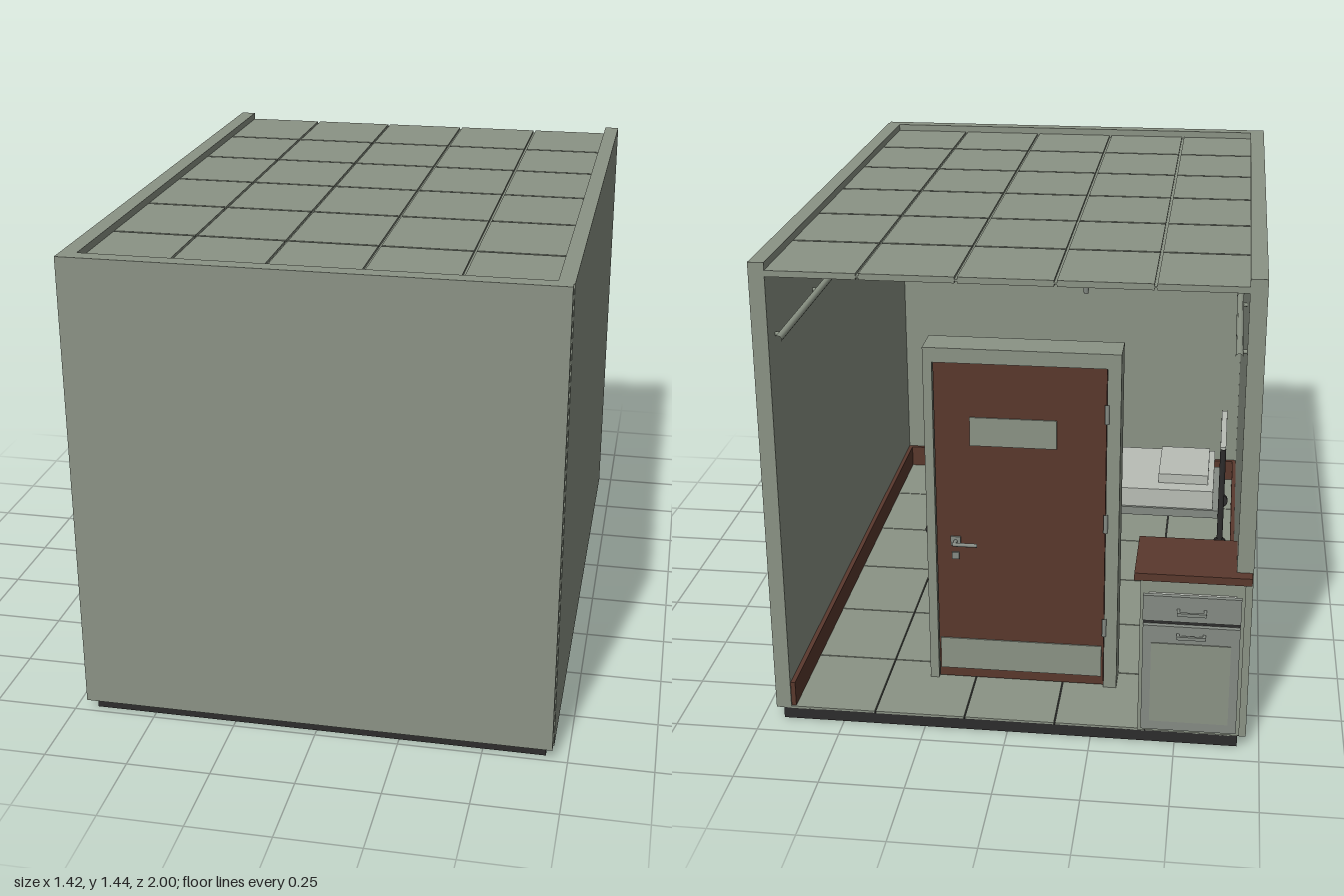
import * as THREE from 'three';

const mat = (name, color) => {
  const m = new THREE.MeshStandardMaterial({ color });
  m.name = name;
  return m;
};

export function createModel() {
  const room = new THREE.Group();
  room.name = 'room';
  const M = {
    wall: mat('sageGrey', 0x8b9385),
    slab: mat('charcoal', 0x2d2c2c),
    wood: mat('brownWood', 0x5a382d),
    metal: mat('greyMetal', 0x858b84),
    white: mat('offWhite', 0xb9beb6),
  };

  const group = (name, parent = room) => {
    const g = new THREE.Group();
    g.name = name;
    parent.add(g);
    return g;
  };

  // Box from its minimum and maximum corners
  const box = (name, m, [x0, x1], [y0, y1], [z0, z1], parent = room) => {
    const b = new THREE.Mesh(new THREE.BoxGeometry(x1 - x0, y1 - y0, z1 - z0), m);
    b.position.set((x0 + x1) / 2, (y0 + y1) / 2, (z0 + z1) / 2);
    b.name = name;
    parent.add(b);
    return b;
  };

  // Straight round bar between two points
  const bar = (name, m, a, b, r, parent = room) => {
    const path = new THREE.LineCurve3(new THREE.Vector3(...a), new THREE.Vector3(...b));
    const t = new THREE.Mesh(new THREE.TubeGeometry(path, 1, r, 10), m);
    t.name = name;
    parent.add(t);
  };

  // U-shaped pull handle projecting towards -z
  const pull = (name, x, y, z, half, depth, parent) => {
    const g = group(name, parent);
    box('grip', M.metal, [x - half, x + half], [y - 0.005, y + 0.005], [z - depth, z - depth + 0.008], g);
    for (const s of [-1, 1]) {
      const px = x + s * (half - 0.004);
      box('post', M.metal, [px - 0.004, px + 0.004], [y - 0.005, y + 0.005], [z - depth, z], g);
    }
  };

  // Shell: floor slab and three walls, open at the back
  box('floorSlab', M.slab, [-0.685, 0.685], [0, 0.035], [-0.925, 0.975]);
  box('rightWall', M.wall, [-0.71, -0.662], [0.035, 1.44], [-0.925, 0.952]);
  box('leftWall', M.wall, [0.662, 0.708], [0.035, 1.44], [-0.925, 0.975]);
  box('frontWall', M.wall, [-0.71, 0.705], [0.035, 1.44], [0.952, 1.0]);

  // Tile grid shared by floor and ceiling
  const xs = [-0.662, -0.412, -0.142, 0.13, 0.403, 0.662];
  const zs = [-0.925, -0.615, -0.3, 0.02, 0.335, 0.655, 0.952];
  const tiles = (name, y0, y1, gap) => {
    const g = group(name);
    for (let i = 0; i < 5; i++) {
      for (let j = 0; j < 6; j++) {
        box('tile', M.wall,
          [xs[i] + (i ? gap : 0), xs[i + 1] - (i < 4 ? gap : 0)], [y0, y1],
          [zs[j] + (j ? gap : 0), zs[j + 1] - (j < 5 ? gap : 0)], g);
      }
    }
  };
  tiles('floorTiles', 0.034, 0.041, 0.002);
  tiles('ceilingTiles', 1.4, 1.418, 0.004);
  box('ceilingGrid', M.wall, [-0.662, 0.662], [1.406, 1.411], [-0.925, 0.952]);

  // Skirting boards and wall rails
  const trim = group('wallTrim');
  for (const s of [-1, 1]) {
    const span = s > 0 ? [0.648, 0.662] : [-0.662, -0.648];
    box('skirting', M.wood, span, [0.041, 0.12], [s > 0 ? -0.92 : -0.72, 0.952], trim);
    bar('wallRail', M.wall, [s * 0.642, 1.21, -0.9], [s * 0.642, 1.21, 0.94], 0.011, trim);
    for (let z = -0.85; z < 0.95; z += 0.425) {
      bar('railBracket', M.wall, [s * 0.662, 1.21, z], [s * 0.642, 1.21, z], 0.006, trim);
    }
  }
  box('frontSkirting', M.wood, [-0.648, 0.648], [0.041, 0.12], [0.938, 0.952], trim);

  // Ceiling fixtures
  const sprinkler = group('sprinkler');
  const disc = (name, r, h, y) => {
    const d = new THREE.Mesh(new THREE.CylinderGeometry(r, r * 0.8, h, 16), M.metal);
    d.position.set(-0.22, y, -0.87);
    d.name = name;
    sprinkler.add(d);
  };
  disc('mount', 0.02, 0.012, 1.394);
  disc('nozzle', 0.008, 0.02, 1.378);

  // Free-standing door in a deep frame
  const door = group('door');
  const frame = new THREE.Shape();
  [[-0.31, 0.04], [-0.31, 1.135], [0.272, 1.135], [0.272, 0.04],
    [0.245, 0.04], [0.245, 1.09], [-0.27, 1.09], [-0.27, 0.04]]
    .forEach(([x, y], i) => (i ? frame.lineTo(x, y) : frame.moveTo(x, y)));
  const frameMesh = new THREE.Mesh(
    new THREE.ExtrudeGeometry(frame, { depth: 0.11, bevelEnabled: false }), M.wall);
  frameMesh.position.z = -0.705;
  frameMesh.name = 'doorFrame';
  door.add(frameMesh);
  box('doorLeaf', M.wood, [-0.268, 0.243], [0.045, 1.088], [-0.696, -0.655], door);
  for (const s of [-1, 1]) {
    const face = s < 0 ? -0.696 : -0.655;
    const plate = (name, m, x, y, t) =>
      box(name, m, x, y, s < 0 ? [face - t, face] : [face, face + t], door);
    plate('doorWindow', M.wall, [-0.122, 0.137], [0.83, 0.92], 0.004);
    plate('kickPlate', M.wall, [-0.262, 0.238], [0.075, 0.18], 0.004);
    plate('lockPlate', M.metal, [0.17, 0.2], [0.5, 0.53], 0.006);
    plate('keyPlate', M.metal, [0.175, 0.197], [0.455, 0.477], 0.006);
    bar('leverStem', M.metal, [0.185, 0.515, face], [0.185, 0.515, face + s * 0.03], 0.006, door);
    bar('lever', M.metal, [0.19, 0.515, face + s * 0.03], [0.115, 0.515, face + s * 0.03], 0.006, door);
  }
  for (const y of [0.25, 0.6, 0.95]) {
    bar('hinge', M.metal, [-0.27, y - 0.03, -0.704], [-0.27, y + 0.03, -0.704], 0.007, door);
  }

  // Cabinet with worktop, slightly open drawer and a door
  const cabinet = group('cabinet');
  box('cabinetBody', M.wall, [-0.69, -0.39], [0.041, 0.55], [-0.932, -0.73], cabinet);
  box('worktop', M.wood, [-0.707, -0.373], [0.55, 0.573], [-0.962, -0.72], cabinet);
  box('drawerFront', M.metal, [-0.68, -0.4], [0.43, 0.51], [-0.973, -0.958], cabinet);
  box('drawerBox', M.white, [-0.665, -0.415], [0.44, 0.5], [-0.958, -0.932], cabinet);
  box('cabinetDoor', M.metal, [-0.68, -0.4], [0.055, 0.4], [-0.947, -0.932], cabinet);
  box('doorInset', M.wall, [-0.655, -0.425], [0.085, 0.345], [-0.95, -0.947], cabinet);
  box('drawerShadowGap', M.slab, [-0.68, -0.4], [0.402, 0.428], [-0.935, -0.932], cabinet);
  pull('drawerHandle', -0.54, 0.467, -0.973, 0.042, 0.027, cabinet);
  pull('doorHandle', -0.54, 0.373, -0.947, 0.042, 0.02, cabinet);

  // Bed across the far end of the room
  const bed = group('bed');
  box('mattress', M.white, [-0.58, 0.42], [0.2, 0.27], [0.3, 0.68], bed);
  box('bedFrame', M.metal, [-0.6, 0.44], [0.17, 0.2], [0.29, 0.69], bed);
  box('pillow', M.white, [-0.56, -0.38], [0.27, 0.305], [0.36, 0.62], bed);
  for (const [x, top] of [[-0.61, 0.44], [0.45, 0.38]]) {
    box('endBoard', M.white, [x - 0.01, x + 0.01], [0.18, top], [0.31, 0.67], bed);
    for (const z of [0.3, 0.68]) {
      bar('bedPost', M.slab, [x, 0.06, z], [x, top, z], 0.011, bed);
      const wheel = new THREE.Mesh(new THREE.CylinderGeometry(0.025, 0.025, 0.016, 16), M.slab);
      wheel.rotation.x = Math.PI / 2;
      wheel.position.set(x, 0.066, z);
      wheel.name = 'bedWheel';
      bed.add(wheel);
    }
  }
  return room;
}
